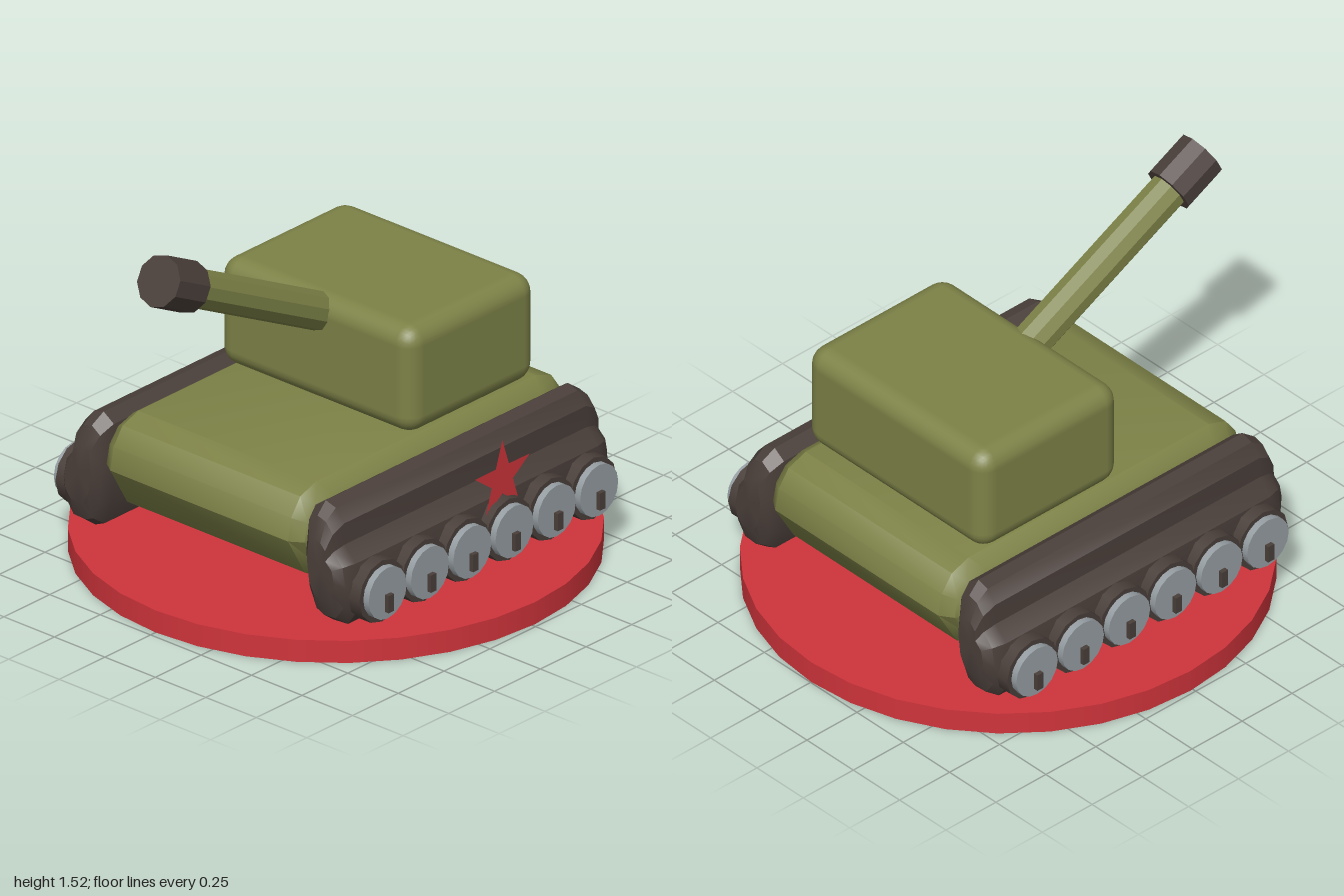
import * as THREE from 'three';
import { toCreasedNormals } from 'three/addons/utils/BufferGeometryUtils.js';
import { RoundedBoxGeometry } from 'three/addons/geometries/RoundedBoxGeometry.js';

// Lofts a counter-clockwise xy profile through stations [z, insetX, insetY], with closed ends.
function loft(profile, stations, crease) {
  const box = new THREE.Box2().setFromPoints(profile.map(([x, y]) => new THREE.Vector2(x, y)));
  const c = box.getCenter(new THREE.Vector2());
  const half = box.getSize(new THREE.Vector2()).multiplyScalar(0.5);
  const n = profile.length;
  const pos = [];
  const index = [];
  for (const [z, ix, iy] of stations) {
    for (const [x, y] of profile) {
      pos.push(c.x + (x - c.x) * (1 - ix / half.x), c.y + (y - c.y) * (1 - iy / half.y), z);
    }
  }
  for (let i = 0; i < stations.length - 1; i++) {
    for (let j = 0; j < n; j++) {
      const a = i * n + j;
      const b = i * n + (j + 1) % n;
      index.push(a, b, b + n, a, b + n, a + n);
    }
  }
  // end caps as fans around the centre
  const last = (stations.length - 1) * n;
  const start = pos.length / 3;
  pos.push(c.x, c.y, stations[0][0], c.x, c.y, stations[stations.length - 1][0]);
  for (let j = 0; j < n; j++) {
    const k = (j + 1) % n;
    index.push(start, k, j, start + 1, last + j, last + k);
  }
  const g = new THREE.BufferGeometry();
  g.setAttribute('position', new THREE.Float32BufferAttribute(pos, 3));
  g.setIndex(index);
  return toCreasedNormals(g, crease);
}

export function createModel() {
  const model = new THREE.Group();
  const material = (name, color) => {
    const m = new THREE.MeshStandardMaterial({ color });
    m.name = name;
    return m;
  };
  const olive = material('olive', 0x7d8247);
  const dark = material('darkBrown', 0x4a3f3a);
  const grey = material('wheelGrey', 0x969ea3);
  const red = material('red', 0xcf343b);
  red.side = THREE.DoubleSide; // the star is a single thin face

  const add = (name, geometry, mat, x = 0, y = 0, z = 0, parent = model) => {
    const mesh = new THREE.Mesh(geometry, mat);
    mesh.name = name;
    mesh.position.set(x, y, z);
    parent.add(mesh);
    return mesh;
  };

  // round base
  add('base', new THREE.CylinderGeometry(0.985, 0.985, 0.09, 32), red, 0, 0.045, -0.012);

  // hull: side profile with a crease at mid height, rounded towards both flanks
  const halfHull = [[0.6, 0.235], [0.66, 0.27], [0.752, 0.43], [0.735, 0.52], [0.685, 0.59], [0.6, 0.62]];
  const hullProfile = [...halfHull, ...halfHull.map(([x, y]) => [-x, y]).reverse()];
  const hullStations = [
    [-0.53, 0.1, 0.1], [-0.49, 0.035, 0.035], [-0.44, 0, 0],
    [0.44, 0, 0], [0.49, 0.035, 0.035], [0.53, 0.1, 0.1],
  ];
  add('hull', loft(hullProfile, hullStations, 0.65).rotateY(Math.PI / 2), olive, 0, 0, -0.017);

  // turret
  add('turret', new RoundedBoxGeometry(0.965, 0.435, 0.7, 3, 0.075), olive, 0, 0.847, -0.238);

  // raised gun: barrel and muzzle along one tilted axis
  const gun = new THREE.Group();
  gun.name = 'gun';
  gun.position.set(0, 1.0, 0.1);
  gun.rotation.x = Math.PI / 2 - 0.465;
  model.add(gun);
  const tube = (radius, length, sides) =>
    toCreasedNormals(new THREE.CylinderGeometry(radius, radius, length, sides), 0.4);
  add('barrel', tube(0.075, 0.9, 10), olive, 0, 0.37, 0, gun);
  add('muzzle', tube(0.1, 0.185, 10), dark, 0, 0.865, 0, gun);

  // tracks: narrow upper ridge over a wider lower run
  const trackProfile = [
    [0.59, 0.13], [0.66, 0.135], [0.705, 0.2], [0.718, 0.3], [0.7, 0.395], [0.645, 0.455],
    [0.642, 0.54], [0.6, 0.59], [0.55, 0.605], [0.5, 0.57], [0.485, 0.42], [0.505, 0.24], [0.545, 0.15],
  ];
  const trackStations = [
    [-0.757, 0.05, 0.12], [-0.725, 0.02, 0.04], [-0.67, 0, 0],
    [0.65, 0, 0], [0.705, 0.02, 0.04], [0.737, 0.05, 0.12],
  ];

  // road wheel parts, with their axes along x
  const rim = new THREE.CylinderGeometry(0.125, 0.125, 0.1, 12).rotateZ(Math.PI / 2);
  const disc = new THREE.CylinderGeometry(0.104, 0.104, 0.06, 16).rotateZ(Math.PI / 2);
  const pin = new THREE.BoxGeometry(0.05, 0.07, 0.03);

  for (const side of [1, -1]) {
    const label = side > 0 ? 'left' : 'right';
    const profile = side > 0 ? trackProfile : trackProfile.map(([x, y]) => [-x, y]).reverse();
    add(label + 'Track', loft(profile, trackStations, 0.5), dark);
    for (let i = 0; i < 6; i++) {
      const wheel = new THREE.Group();
      wheel.name = label + 'Wheel' + (i + 1);
      wheel.position.set(0, 0.27, 0.565 - i * 0.231);
      model.add(wheel);
      add('rim', rim, dark, side * 0.703, 0, 0, wheel);
      add('wheelDisc', disc, grey, side * 0.75, 0, 0, wheel);
      add('pin', pin, dark, side * 0.773, -0.037, 0, wheel);
    }
  }

  // flat five-pointed star on the left flank
  const points = [];
  for (let i = 0; i < 10; i++) {
    const r = i % 2 ? 0.061 : 0.157;
    const a = Math.PI / 2 + i * Math.PI / 5;
    points.push(new THREE.Vector2(r * Math.cos(a), r * Math.sin(a)));
  }
  add('star', new THREE.ShapeGeometry(new THREE.Shape(points)).rotateY(Math.PI / 2), red, 0.722, 0.468, -0.125);

  return model;
}
